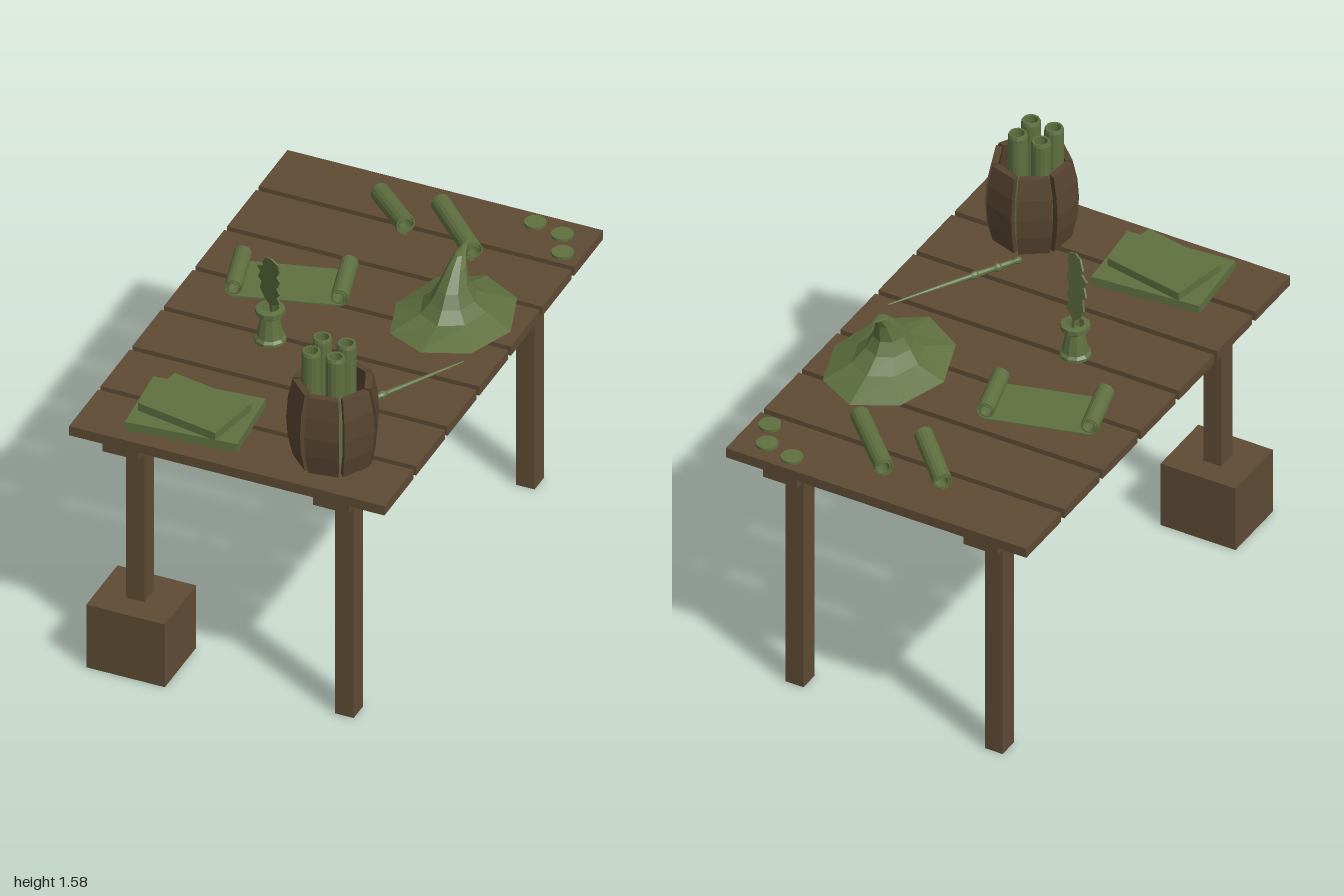
import * as THREE from 'three';

const mat = (color) => new THREE.MeshStandardMaterial({ color, flatShading: true, side: THREE.DoubleSide });
const TOP = 1.097; // height of the table surface

// Thin strip that follows a 2D centre line, extruded along z and centred
function ribbon(points, thickness, width) {
  const side = (s) => points.map((p, i) => {
    const a = points[Math.max(i - 1, 0)], b = points[Math.min(i + 1, points.length - 1)];
    const t = b.clone().sub(a).normalize();
    return new THREE.Vector2(p.x - t.y * s, p.y + t.x * s);
  });
  const shape = new THREE.Shape([...side(thickness / 2), ...side(-thickness / 2).reverse()]);
  return new THREE.ExtrudeGeometry(shape, { depth: width, bevelEnabled: false }).translate(0, 0, -width / 2);
}

// Spiral that unwinds counterclockwise and ends at the bottom
function spiral(cx, cy, rIn, rOut, turns, steps) {
  return Array.from({ length: steps + 1 }, (_, i) => {
    const t = i / steps, a = -Math.PI / 2 - (1 - t) * turns * 2 * Math.PI;
    const r = rIn + (rOut - rIn) * t;
    return new THREE.Vector2(cx + Math.cos(a) * r, cy + Math.sin(a) * r);
  });
}

const lathe = (profile, sides) =>
  new THREE.LatheGeometry(profile.map(([r, y]) => new THREE.Vector2(r, y)), sides);

// Closed skin over elliptical rings [y, z, rx, rz, frontLift]
function loft(rings, sides) {
  const pos = [], idx = [];
  rings.forEach(([y, z, rx, rz, lift = 0], i) => {
    for (let j = 0; j < sides; j++) {
      const a = (j / sides) * 2 * Math.PI, s = Math.sin(a);
      pos.push(Math.cos(a) * rx, y + lift * Math.max(0, s) ** 2, z + s * rz);
      if (i === rings.length - 1) continue;
      const p = i * sides + j, q = i * sides + (j + 1) % sides;
      idx.push(p, p + sides, q, q, p + sides, q + sides);
    }
  });
  const g = new THREE.BufferGeometry();
  g.setAttribute('position', new THREE.Float32BufferAttribute(pos, 3));
  g.setIndex(idx);
  g.computeVertexNormals();
  return g;
}

export function createModel() {
  const model = new THREE.Group();
  const wood = mat(0x5f4b34), barrelWood = mat(0x57442f), green = mat(0x5f7040);

  const add = (name, geometry, material, x, y, z, rotY = 0, parent = model) => {
    const m = new THREE.Mesh(geometry, material);
    m.name = name;
    m.position.set(x, y, z);
    m.rotation.order = 'YXZ';
    m.rotation.y = rotY;
    parent.add(m);
    return m;
  };
  const box = (name, w, h, d, material, x, y, z, rotY) =>
    add(name, new THREE.BoxGeometry(w, h, d), material, x, y, z, rotY);

  // Table: planks, rails, legs and the block round one foot
  for (let i = 0; i < 7; i++) box('plank', 1.296, 0.042, 0.264, wood, 0, TOP - 0.021, -0.868 + i * 0.2893);
  for (const x of [-0.443, 0.422]) {
    box('rail', 0.147, 0.045, 1.97, wood, x, 1.0325, 0);
  }
  for (const x of [-0.434, 0.425])
    for (const z of [-0.828, 0.828]) box('leg', 0.077, 1.01, 0.085, wood, x, 0.505, z);
  box('footBlock', 0.323, 0.285, 0.285, wood, -0.427, 0.1425, 0.832);

  // Barrel: seven separate bulging staves
  const barrel = new THREE.Group();
  barrel.name = 'barrel';
  barrel.position.set(0.335, TOP, 0.765);
  model.add(barrel);
  const stave = new THREE.BoxGeometry(0.137, 0.343, 0.026, 1, 4, 1);
  const sp = stave.attributes.position;
  for (let i = 0; i < sp.count; i++) {
    const t = sp.getY(i) / 0.1715;
    const inner = sp.getZ(i) < 0 ? 0.86 : 1;
    sp.setX(i, sp.getX(i) * (1 - 0.13 * t * t) * inner);
    sp.setZ(i, sp.getZ(i) - 0.023 * t * t);
  }
  stave.computeVertexNormals();
  for (let i = 0; i < 7; i++) {
    const a = THREE.MathUtils.degToRad(8 + i * 360 / 7);
    add('stave', stave, barrelWood, Math.sin(a) * 0.153, 0.1715, Math.cos(a) * 0.153, a, barrel);
  }

  // Four hollow rolls standing in the barrel
  const roll = lathe([[0.026, 0], [0.036, 0], [0.038, 0.01], [0.038, 0.47], [0.034, 0.482], [0.026, 0.482], [0.026, 0]], 14);
  for (const x of [0.262, 0.362])
    for (const z of [0.71, 0.81]) add('standingRoll', roll, green, x, TOP, z);

  // Stacked books
  box('lowerBook', 0.447, 0.037, 0.32, green, -0.237, TOP + 0.0185, 0.76, 0.083);
  box('upperBook', 0.35, 0.034, 0.242, green, -0.238, TOP + 0.054, 0.762, -0.184);

  // Inkwell
  add('inkwell', lathe([[0, 0], [0.062, 0], [0.062, 0.012], [0.052, 0.022], [0.036, 0.105], [0.04, 0.112],
    [0.057, 0.122], [0.057, 0.142], [0.034, 0.146], [0.03, 0.11], [0, 0.11]], 10), green, -0.195, TOP, 0.168);

  // Quill: notched outline, thin, leaning forward
  const outline = [[-1, -20], [1, -20], [2, 3], [12, 10], [9, 17], [13, 23], [10, 29], [15, 40], [12, 45], [16, 53], [15, 61],
    [7, 64], [0, 62], [-5, 53], [-4, 49], [-12, 45], [-9, 39], [-13, 31], [-9, 27], [-12, 17], [-7, 7], [-2, 3]];
  const quill = new THREE.ExtrudeGeometry(
    new THREE.Shape(outline.map(([x, y]) => new THREE.Vector2(x / 225, y / 240))),
    { depth: 0.008, bevelEnabled: false });
  quill.translate(0, 0, -0.004).rotateY(-0.42);
  const qp = quill.attributes.position;
  for (let i = 0; i < qp.count; i++) qp.setZ(i, qp.getZ(i) + 0.2 * qp.getY(i));
  quill.computeVertexNormals();
  add('quill', quill, green, -0.19, 1.245, 0.165);

  // Wand: turned handle tapering to the tip
  const wand = add('wand', lathe([[0, 0], [0.012, 0.004], [0.015, 0.015], [0.008, 0.03], [0.011, 0.05], [0.012, 0.09],
    [0.017, 0.1], [0.017, 0.112], [0.01, 0.122], [0.013, 0.19], [0.016, 0.2], [0.015, 0.212], [0.01, 0.222],
    [0.008, 0.38], [0.003, 0.578], [0, 0.581]], 8), green, 0.257, 1.132, 0.553);
  wand.quaternion.setFromUnitVectors(new THREE.Vector3(0, 1, 0), new THREE.Vector3(0.291, 0, -0.503).normalize());

  // Pointed hat with a wide brim and a tip bent backwards
  add('hat', loft([
    [1.1, -0.25, 0, 0], [1.1, -0.26, 0.19, 0.24], [1.104, -0.238, 0.235, 0.302, 0.028],
    [1.155, -0.25, 0.13, 0.16], [1.2, -0.235, 0.088, 0.104], [1.25, -0.237, 0.06, 0.073],
    [1.32, -0.272, 0.036, 0.043], [1.357, -0.303, 0.021, 0.028], [1.375, -0.372, 0, 0],
  ], 8), green, 0.376, 0, 0);

  // Open scroll: a sheet rolled up at both ends
  const left = spiral(-0.2, 0.04, 0.02, 0.037, 1.6, 26);
  const right = left.map((p) => new THREE.Vector2(-p.x, p.y)).reverse();
  add('openScroll', ribbon([...left, ...right], 0.006, 0.235), green, -0.272, TOP + 0.001, -0.196, 0.263);

  // Closed scrolls
  const coil = spiral(0, 0, 0.022, 0.039, 1.7, 28);
  add('longScroll', ribbon(coil, 0.007, 0.348), green, 0.167, TOP + 0.042, -0.741, Math.PI / 4);
  add('shortScroll', ribbon(coil, 0.007, 0.275), green, -0.095, TOP + 0.056, -0.738, Math.PI / 4).rotation.x = -0.1;

  // Coins
  const coin = new THREE.CylinderGeometry(0.043, 0.043, 0.012, 16);
  for (const [x, z] of [[0.4, -0.934], [0.524, -0.905], [0.574, -0.796]]) add('coin', coin, green, x, TOP + 0.006, z);

  return model;
}
